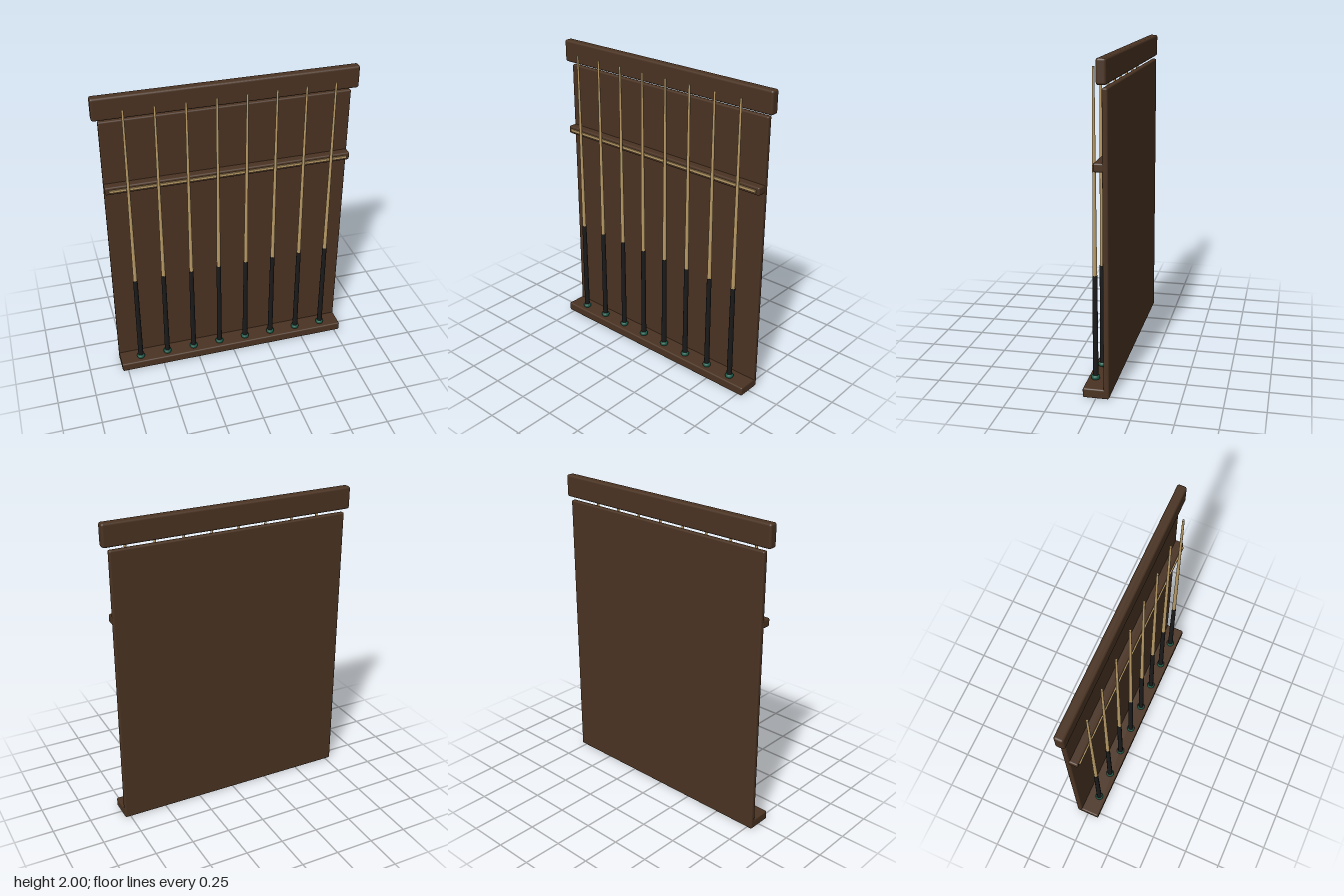
import * as THREE from 'three';
import { RoundedBoxGeometry } from 'three/addons/geometries/RoundedBoxGeometry.js';

const mat = (name, color) => {
  const m = new THREE.MeshStandardMaterial({ color });
  m.name = name;
  return m;
};

export function createModel() {
  const wood = mat('dark wood', 0x4a3322);
  const maple = mat('pale maple', 0xb89a66);
  const black = mat('black wrap', 0x1a1a1a);
  const green = mat('green felt', 0x1d5a48);

  const root = new THREE.Group();
  root.name = 'cueRack';

  const add = (parent, name, geometry, material, x, y, z) => {
    const mesh = new THREE.Mesh(geometry, material);
    mesh.name = name;
    mesh.position.set(x, y, z);
    parent.add(mesh);
    return mesh;
  };

  // Rounded board given by half width and its y and z limits
  const board = (name, halfW, y0, y1, z0, z1, r) =>
    add(root, name, new RoundedBoxGeometry(halfW * 2, y1 - y0, z1 - z0, 3, r),
      wood, 0, (y0 + y1) / 2, (z0 + z1) / 2);

  // Wooden frame
  board('backPanel', 0.787, 0.004, 1.837, -0.08, -0.046, 0.01);
  board('topRail', 0.825, 1.856, 2, -0.08, -0.022, 0.014);
  board('bottomShelf', 0.787, 0, 0.06, -0.08, 0.08, 0.01);
  board('middleRail', 0.787, 1.37, 1.422, -0.058, 0.006, 0.01);

  // Pale inlay along the middle rail
  add(root, 'railInlay', new THREE.BoxGeometry(1.53, 0.016, 0.009), maple, 0, 1.396, 0.01);

  // Eight cues, each standing in a felt ring
  const buttGeo = new THREE.CylinderGeometry(0.0145, 0.0175, 0.66, 12);
  const shaftGeo = new THREE.CylinderGeometry(0.007, 0.0135, 1.217, 12);
  const ringGeo = new THREE.TorusGeometry(0.018, 0.009, 8, 16).rotateX(Math.PI / 2);
  ringGeo.scale(1, 1.6, 1);
  for (let i = 0; i < 8; i++) {
    const cue = new THREE.Group();
    cue.name = `cue${i + 1}`;
    cue.position.set((i - 3.5) * 0.1858, 0, 0.031);
    add(cue, 'buttRing', ringGeo, green, 0, 0.074, 0);
    add(cue, 'butt', buttGeo, black, 0, 0.39, 0);
    add(cue, 'shaft', shaftGeo, maple, 0, 1.3285, 0);
    root.add(cue);
  }

  return root;
}
